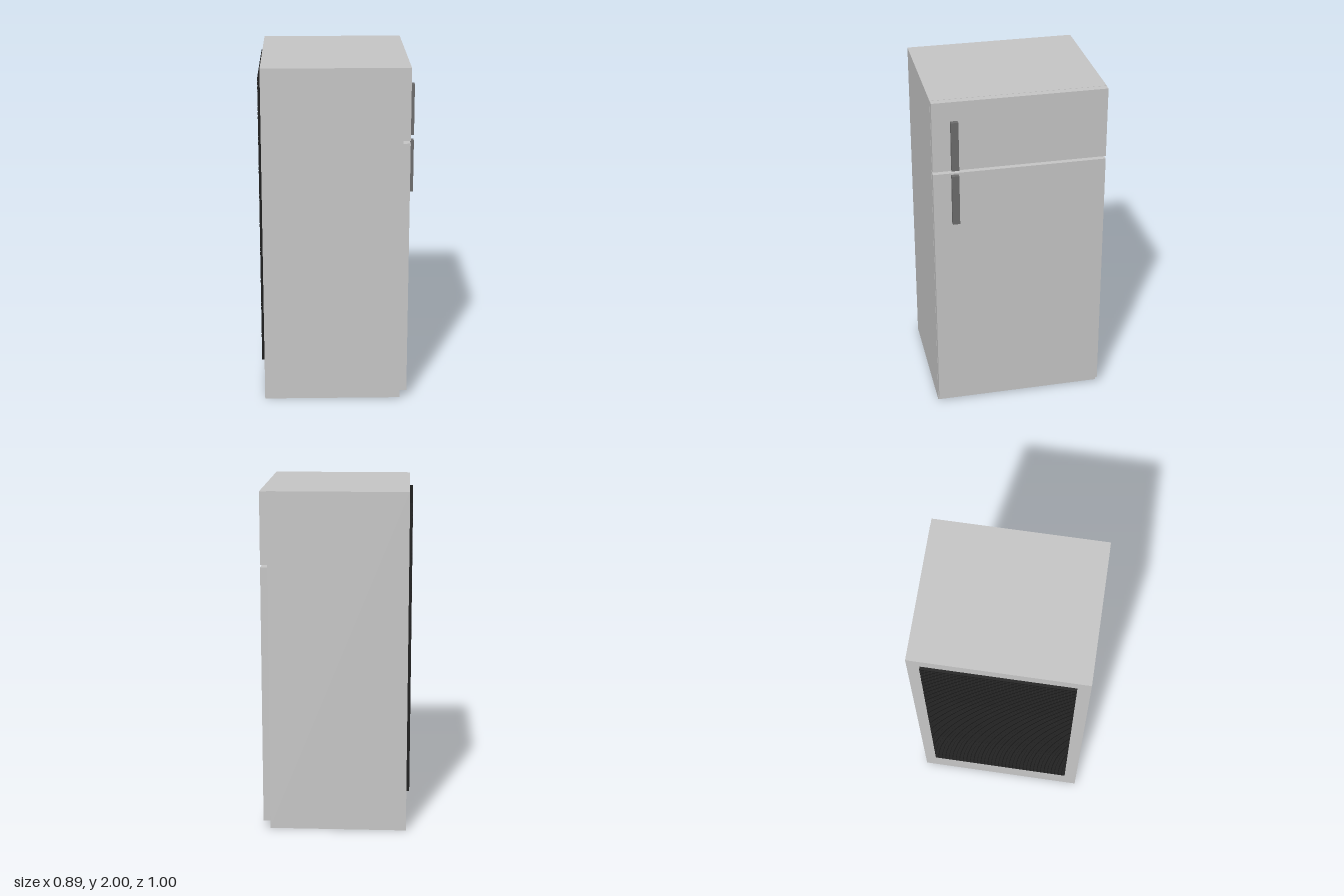
import * as THREE from 'three';

const shell = new THREE.MeshStandardMaterial({ name: 'lightGrey', color: 0xc8c8c8 });
const grip = new THREE.MeshStandardMaterial({ name: 'midGrey', color: 0x6e6e6e });
const coil = new THREE.MeshStandardMaterial({ name: 'nearBlack', color: 0x1c1c1c });

// Box given by its lower and upper limits on each axis
function box(name, material, [x0, x1], [y0, y1], [z0, z1]) {
  const mesh = new THREE.Mesh(new THREE.BoxGeometry(x1 - x0, y1 - y0, z1 - z0), material);
  mesh.position.set((x0 + x1) / 2, (y0 + y1) / 2, (z0 + z1) / 2);
  mesh.name = name;
  return mesh;
}

// Pull handle: closed on its outer side, hollowed for fingers on the hinge side
function handle(name, y0, y1) {
  const g = new THREE.Group();
  g.name = name;
  const x0 = 0.415, x1 = 0.441, z0 = 0.354, z1 = 0.396, end = 0.018;
  g.add(
    box('gripBar', grip, [x0 + 0.014, x1], [y0, y1], [z0, z1]),
    box('gripSide', grip, [x0, x0 + 0.014], [y0, y1], [z1 - 0.014, z1]),
    box('lowerFoot', grip, [x0, x0 + 0.014], [y0, y0 + end], [z0, z1 - 0.014]),
    box('upperFoot', grip, [x0, x0 + 0.014], [y1 - end, y1], [z0, z1 - 0.014]),
  );
  return g;
}

export function createModel() {
  const model = new THREE.Group();
  model.name = 'refrigerator';

  // Cabinet and the two doors on its +x side
  const doorX = [0.375, 0.415], doorZ = [-0.499, 0.499];
  model.add(
    box('cabinet', shell, [-0.428, 0.375], [0, 2], [-0.5, 0.5]),
    box('freezerDoor', shell, doorX, [1.583, 1.999], doorZ),
    box('fridgeDoor', shell, doorX, [0.045, 1.567], doorZ),
    handle('freezerHandle', 1.592, 1.885),
    handle('fridgeHandle', 1.254, 1.558),
  );

  // Condenser panel with fine horizontal fins on the -x side
  const condenser = new THREE.Group();
  condenser.name = 'condenser';
  const y0 = 0.22, y1 = 1.93, z = [-0.426, 0.426], count = 70;
  condenser.add(box('condenserPlate', coil, [-0.441, -0.428], [y0, y1], z));
  const pitch = (y1 - y0) / (count - 0.4);
  for (let i = 0; i < count; i++) {
    const y = y0 + i * pitch;
    condenser.add(box('condenserFin', coil, [-0.445, -0.441], [y, y + pitch * 0.6], z));
  }
  model.add(condenser);
  return model;
}
